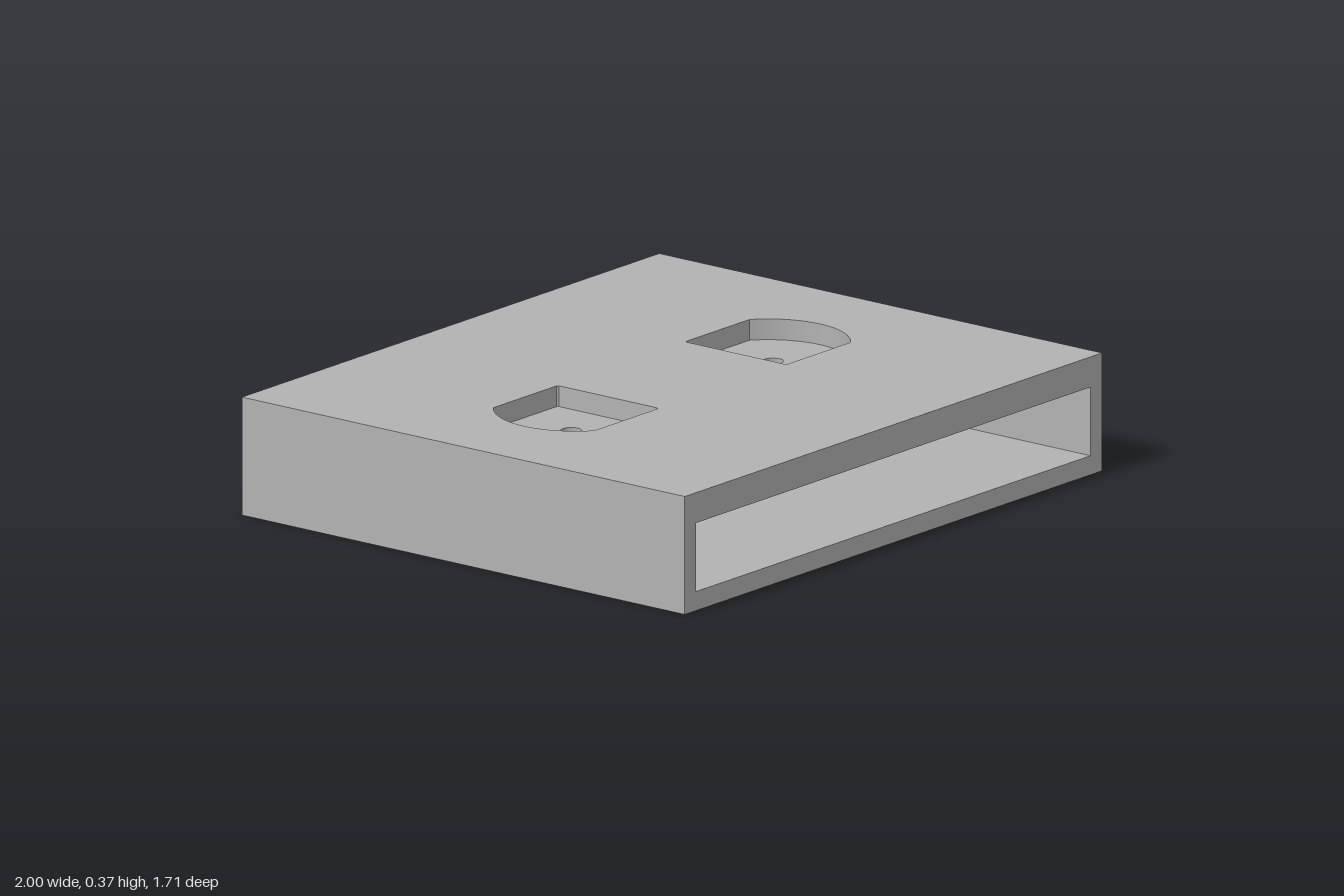
import * as THREE from 'three';

const HALF_W = 1, HALF_D = 0.857;
const FLOOR_TOP = 0.06, CEILING = 0.275, POCKET_FLOOR = 0.305, TOP = 0.37;
const WALL = 0.055, HOLE_X = 0.483, HOLE_R = 0.032;

// Round screw hole
function screwHole(side) {
  return new THREE.Path().absarc(side * HOLE_X, 0, HOLE_R, 0, Math.PI * 2, true);
}

// Pocket outline: a circle cut by a flat inner edge and two flat sides
function pocket(side) {
  const cx = 0.4625, r = 0.2475, inner = 0.305, half = 0.196;
  const a = Math.asin(half / r);
  const b = Math.acos((inner - cx) / r);
  const points = [];
  const arc = (from, to, steps) => {
    for (let i = 0; i <= steps; i++) {
      const t = from + (to - from) * i / steps;
      points.push(new THREE.Vector2(side * (cx + r * Math.cos(t)), r * Math.sin(t)));
    }
  };
  arc(-a, a, 32);
  arc(Math.PI - a, b, 2);
  arc(-b, a - Math.PI, 2);
  return new THREE.Path(points);
}

// Horizontal slab between two heights with a mirrored pair of cutouts
function slab(name, bottom, top, cutout, material) {
  const shape = new THREE.Shape([
    new THREE.Vector2(-HALF_W, -HALF_D), new THREE.Vector2(HALF_W, -HALF_D),
    new THREE.Vector2(HALF_W, HALF_D), new THREE.Vector2(-HALF_W, HALF_D),
  ]);
  shape.holes.push(cutout(-1), cutout(1));
  const geometry = new THREE.ExtrudeGeometry(shape, {
    depth: top - bottom, bevelEnabled: false, curveSegments: 24,
  });
  geometry.rotateX(-Math.PI / 2);
  geometry.translate(0, bottom, 0);
  const mesh = new THREE.Mesh(geometry, material);
  mesh.name = name;
  return mesh;
}

export function createModel() {
  const group = new THREE.Group();
  group.name = 'mountingSleeve';
  const grey = new THREE.MeshStandardMaterial({ color: 0xb2b2b2 });
  grey.name = 'grey';

  // Base, pocket floor and pocketed top
  group.add(
    slab('basePlate', 0, FLOOR_TOP, screwHole, grey),
    slab('pocketFloor', CEILING, POCKET_FLOOR, screwHole, grey),
    slab('topPlate', POCKET_FLOOR, TOP, pocket, grey),
  );

  // Side walls, leaving the sleeve open at front and back
  for (const side of [-1, 1]) {
    const wall = new THREE.Mesh(
      new THREE.BoxGeometry(WALL, CEILING - FLOOR_TOP, HALF_D * 2), grey);
    wall.name = side > 0 ? 'leftWall' : 'rightWall';
    wall.position.set(side * (HALF_W - WALL / 2), (CEILING + FLOOR_TOP) / 2, 0);
    group.add(wall);
  }
  return group;
}
